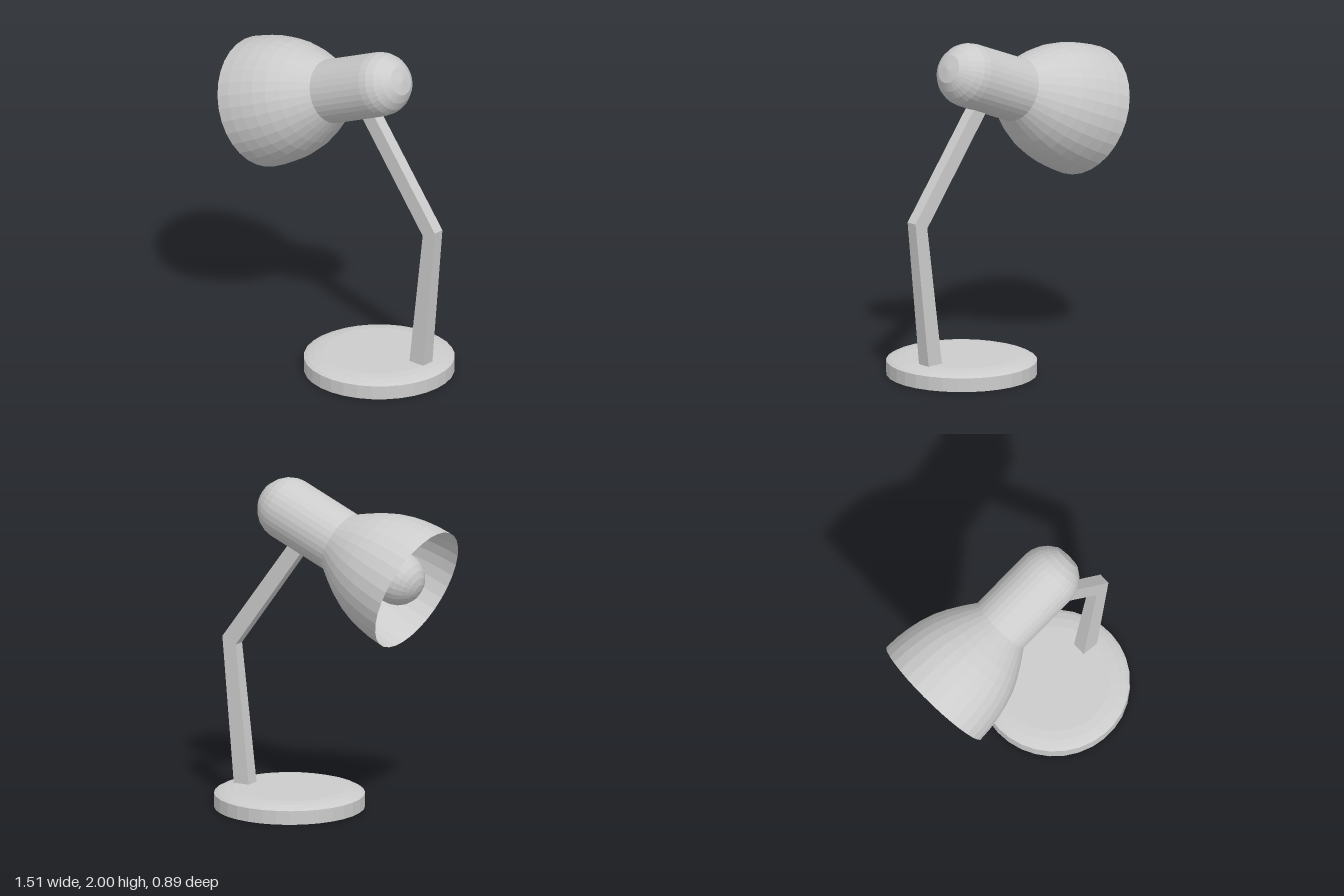
import * as THREE from 'three';

const material = new THREE.MeshStandardMaterial({ color: 0xcccccc, flatShading: true });
const openMaterial = new THREE.MeshStandardMaterial({ color: 0xcccccc, flatShading: true, side: THREE.DoubleSide });

// Turned part from [radius, height] pairs, listed bottom to top
function turned(name, profile, segments = 32, mat = material) {
  const points = profile.map(([r, y]) => new THREE.Vector2(r, y));
  const mesh = new THREE.Mesh(new THREE.LatheGeometry(points, segments), mat);
  mesh.name = name;
  return mesh;
}

// Square bar through sections { a: [x, y], b: [x, y], z0, z1 }, capped at both ends
function bar(name, sections) {
  const positions = [];
  const index = [];
  for (const { a, b, z0, z1 } of sections) {
    positions.push(...a, z1, ...b, z1, ...b, z0, ...a, z0);
  }
  for (let i = 0; i < sections.length - 1; i++) {
    for (let k = 0; k < 4; k++) {
      const p = i * 4 + k, q = i * 4 + (k + 1) % 4;
      index.push(p, q, q + 4, p, q + 4, p + 4);
    }
  }
  const t = (sections.length - 1) * 4;
  index.push(0, 2, 1, 0, 3, 2, t, t + 1, t + 2, t, t + 2, t + 3);
  let geometry = new THREE.BufferGeometry();
  geometry.setAttribute('position', new THREE.Float32BufferAttribute(positions, 3));
  geometry.setIndex(index);
  geometry = geometry.toNonIndexed();
  geometry.computeVertexNormals();
  const mesh = new THREE.Mesh(geometry, material);
  mesh.name = name;
  return mesh;
}

export function createModel() {
  const lamp = new THREE.Group();
  lamp.name = 'deskLamp';

  // Round foot with a softly domed rim
  const base = turned('base', [
    [0, 0], [0.445, 0], [0.445, 0.083], [0.425, 0.094], [0.385, 0.106], [0.33, 0.114], [0, 0.116],
  ]);
  base.position.x = 0.305;
  lamp.add(base);

  // Bent arm, slightly thicker at the foot
  lamp.add(bar('arm', [
    { a: [0.534, 0.1], b: [0.639, 0.1], z0: -0.086, z1: 0 },
    { a: [0.637, 0.95], b: [0.73, 0.99], z0: -0.07, z1: 0 },
    { a: [0.17, 1.585], b: [0.262, 1.62], z0: -0.07, z1: 0 },
  ]));

  // Tilted head: local y runs from the shade opening to the rounded cap
  const head = new THREE.Group();
  head.name = 'head';
  head.position.set(-0.608, 1.45, -0.037);
  head.rotation.z = -1.182;
  lamp.add(head);

  head.add(turned('shade', [
    [0.389, 0], [0.385, 0.085], [0.373, 0.17], [0.355, 0.25], [0.328, 0.33],
    [0.289, 0.41], [0.24, 0.49], [0.188, 0.567],
  ], 32, openMaterial));

  head.add(turned('socketHousing', [
    [0.19, 0.565], [0.19, 0.968], [0.183, 1.015], [0.163, 1.06],
    [0.13, 1.1], [0.085, 1.133], [0, 1.147],
  ], 32, openMaterial));

  // Bulb: round glass blending into a stem that reaches the socket
  const bulbProfile = [];
  for (let i = 0; i <= 9; i++) {
    const angle = (i / 9) * 2.4;
    bulbProfile.push([0.16 * Math.sin(angle), 0.14 - 0.16 * Math.cos(angle)]);
  }
  bulbProfile.push([0.08, 0.34], [0.07, 0.42], [0.07, 0.7], [0, 0.7]);
  head.add(turned('bulb', bulbProfile, 24));

  return lamp;
}
